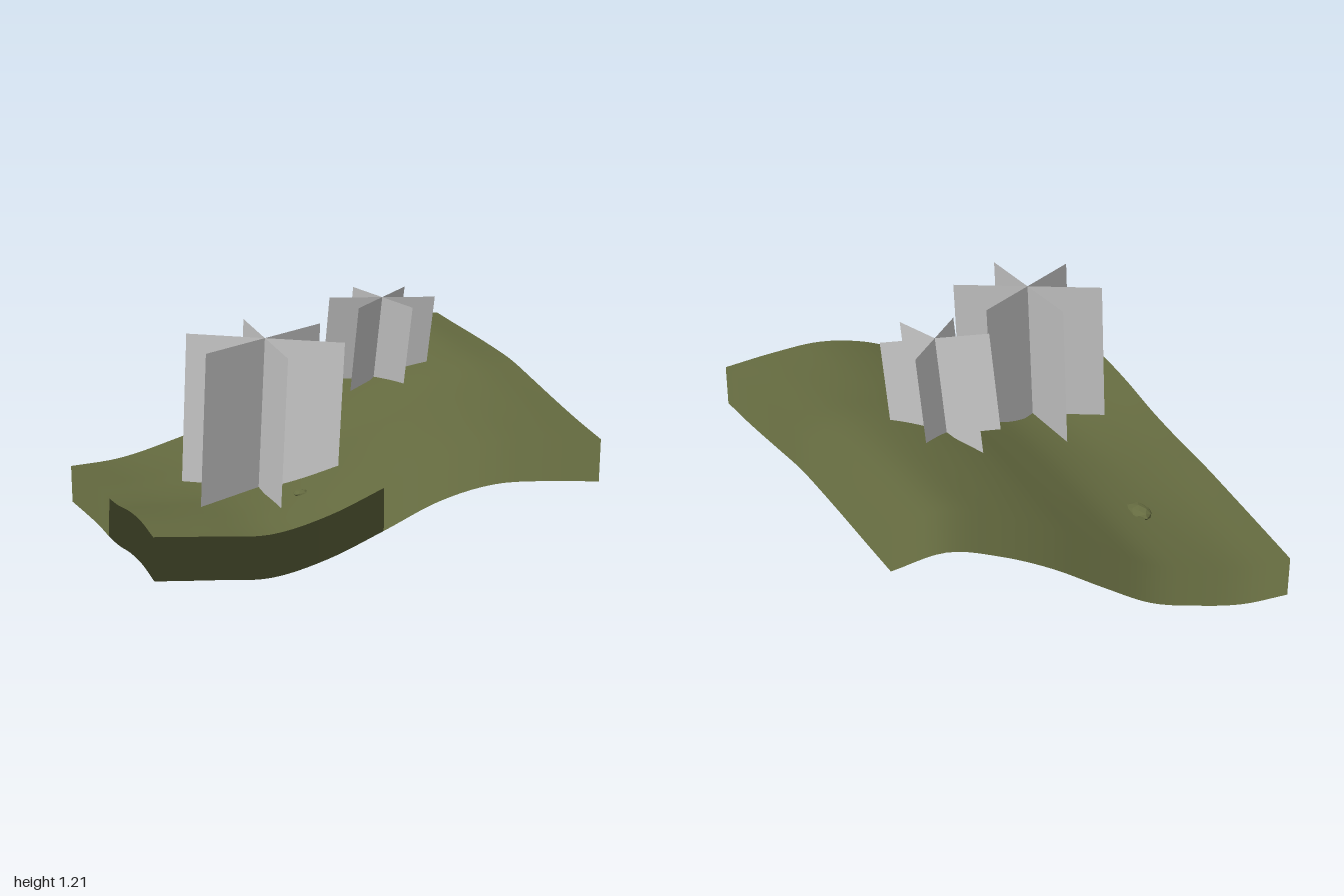
import * as THREE from 'three';

const SEG = 40, SKIRT = 0.195;

// Edge heights of the ground, sampled every 0.25 along each side
const FRONT = [0.535, 0.51, 0.49, 0.545, 0.645, 0.752, 0.803, 0.793, 0.765];
const BACK = [0.195, 0.213, 0.275, 0.36, 0.51, 0.67, 0.797, 0.883, 0.86];
const LEFT = [0.195, 0.243, 0.29, 0.335, 0.37, 0.415, 0.475, 0.518, 0.535];
const RIGHT = [0.86, 0.862, 0.866, 0.867, 0.862, 0.836, 0.808, 0.783, 0.765];

// Smooth (Catmull-Rom) lookup in an evenly spaced table, t from 0 to 1
function sample(a, t) {
  const n = a.length - 1, i = Math.min(n - 1, Math.floor(t * n)), f = t * n - i;
  const p1 = a[i], p2 = a[i + 1];
  const p0 = i > 0 ? a[i - 1] : 2 * p1 - p2;
  const p3 = i + 2 <= n ? a[i + 2] : 2 * p2 - p1;
  return p1 + 0.5 * f * (p2 - p0 + f * (2 * p0 - 5 * p1 + 4 * p2 - p3 + f * (3 * (p1 - p2) + p3 - p0)));
}

// Ground height blended between the four edges
function height(x, z) {
  const u = Math.min(1, Math.max(0, (x + 1) / 2)), v = Math.min(1, Math.max(0, (z + 1) / 2));
  const mix = THREE.MathUtils.lerp;
  return mix(sample(BACK, u), sample(FRONT, u), v) + mix(sample(LEFT, v), sample(RIGHT, v), u)
    - mix(mix(BACK[0], BACK[8], u), mix(FRONT[0], FRONT[8], u), v);
}

function groundGeometry() {
  const g = new THREE.PlaneGeometry(2, 2, SEG, SEG).rotateX(-Math.PI / 2);
  const p = g.attributes.position;
  for (let i = 0; i < p.count; i++) p.setY(i, height(p.getX(i), p.getZ(i)));
  g.computeVertexNormals();
  return g;
}

// Skirt hanging from the rim, keeping the ground's normals so the shading runs on
function skirtGeometry(ground) {
  const p = ground.attributes.position, n = ground.attributes.normal, row = SEG + 1;
  const rim = [];
  for (let i = 0; i < SEG; i++) rim.push(SEG * row + i);
  for (let i = SEG; i > 0; i--) rim.push(i * row + SEG);
  for (let i = SEG; i > 0; i--) rim.push(i);
  for (let i = 0; i < SEG; i++) rim.push(i * row);
  const pos = [], nor = [], index = [];
  rim.forEach((k, i) => {
    for (const drop of [0, SKIRT]) {
      pos.push(p.getX(k), p.getY(k) - drop, p.getZ(k));
      nor.push(n.getX(k), n.getY(k), n.getZ(k));
    }
    const a = 2 * i, b = 2 * ((i + 1) % rim.length);
    index.push(a, a + 1, b, b, a + 1, b + 1);
  });
  const g = new THREE.BufferGeometry();
  g.setAttribute('position', new THREE.Float32BufferAttribute(pos, 3));
  g.setAttribute('normal', new THREE.Float32BufferAttribute(nor, 3));
  g.setIndex(index);
  return g;
}

// Three upright crossed panels that lean from the foot to the top
function crossedPanels(name, foot, top, halfWidth, startAngle, material) {
  const group = new THREE.Group();
  group.name = name;
  const h = top[1] - foot[1];
  for (let i = 0; i < 3; i++) {
    const g = new THREE.PlaneGeometry(2 * halfWidth, h).translate(0, h / 2, 0);
    g.rotateY(-(startAngle + i * Math.PI / 3));
    const p = g.attributes.position;
    for (let k = 0; k < p.count; k++) {
      const t = p.getY(k) / h;
      p.setX(k, p.getX(k) + t * (top[0] - foot[0]));
      p.setZ(k, p.getZ(k) + t * (top[2] - foot[2]));
    }
    g.computeVertexNormals();
    const panel = new THREE.Mesh(g, material);
    panel.name = 'treePanel';
    group.add(panel);
  }
  group.position.set(...foot);
  return group;
}

// Lumpy stone, moved by a rule that depends only on direction
function stone(name, x, z, size, material) {
  const g = new THREE.IcosahedronGeometry(1, 1);
  const p = g.attributes.position, v = new THREE.Vector3();
  for (let i = 0; i < p.count; i++) {
    v.fromBufferAttribute(p, i);
    v.multiplyScalar(1 + 0.12 * Math.sin(4 * v.x + 2 * v.z + 1) * Math.cos(3 * v.z - v.y));
    p.setXYZ(i, v.x, v.y, v.z);
  }
  g.scale(...size);
  g.computeVertexNormals();
  const mesh = new THREE.Mesh(g, material);
  mesh.name = name;
  mesh.position.set(x, height(x, z), z);
  return mesh;
}

export function createModel() {
  const model = new THREE.Group();
  model.name = 'hillsideTile';
  const grass = new THREE.MeshStandardMaterial({ color: 0x656b40, side: THREE.DoubleSide });
  grass.name = 'olive grass';
  const grey = new THREE.MeshStandardMaterial({ color: 0xc4c4c4, side: THREE.DoubleSide });
  grey.name = 'light grey';

  // Ground sheet and its skirt
  const geometry = groundGeometry();
  const ground = new THREE.Mesh(geometry, grass);
  ground.name = 'ground';
  const skirt = new THREE.Mesh(skirtGeometry(geometry), grass);
  skirt.name = 'groundSkirt';
  model.add(ground, skirt);

  // Trees
  model.add(
    crossedPanels('largeTree', [-0.38, 0.48, 0.38], [-0.345, 1.17, 0.38], 0.36, Math.PI / 6, grey),
    crossedPanels('smallTree', [0.355, 0.775, -0.175], [0.355, 1.205, -0.06], 0.249, Math.PI / 12, grey),
  );

  // Stones
  model.add(
    stone('largeStone', -0.455, -0.535, [0.057, 0.032, 0.075], grass),
    stone('smallStone', -0.262, 0.65, [0.034, 0.017, 0.028], grass),
  );
  return model;
}
